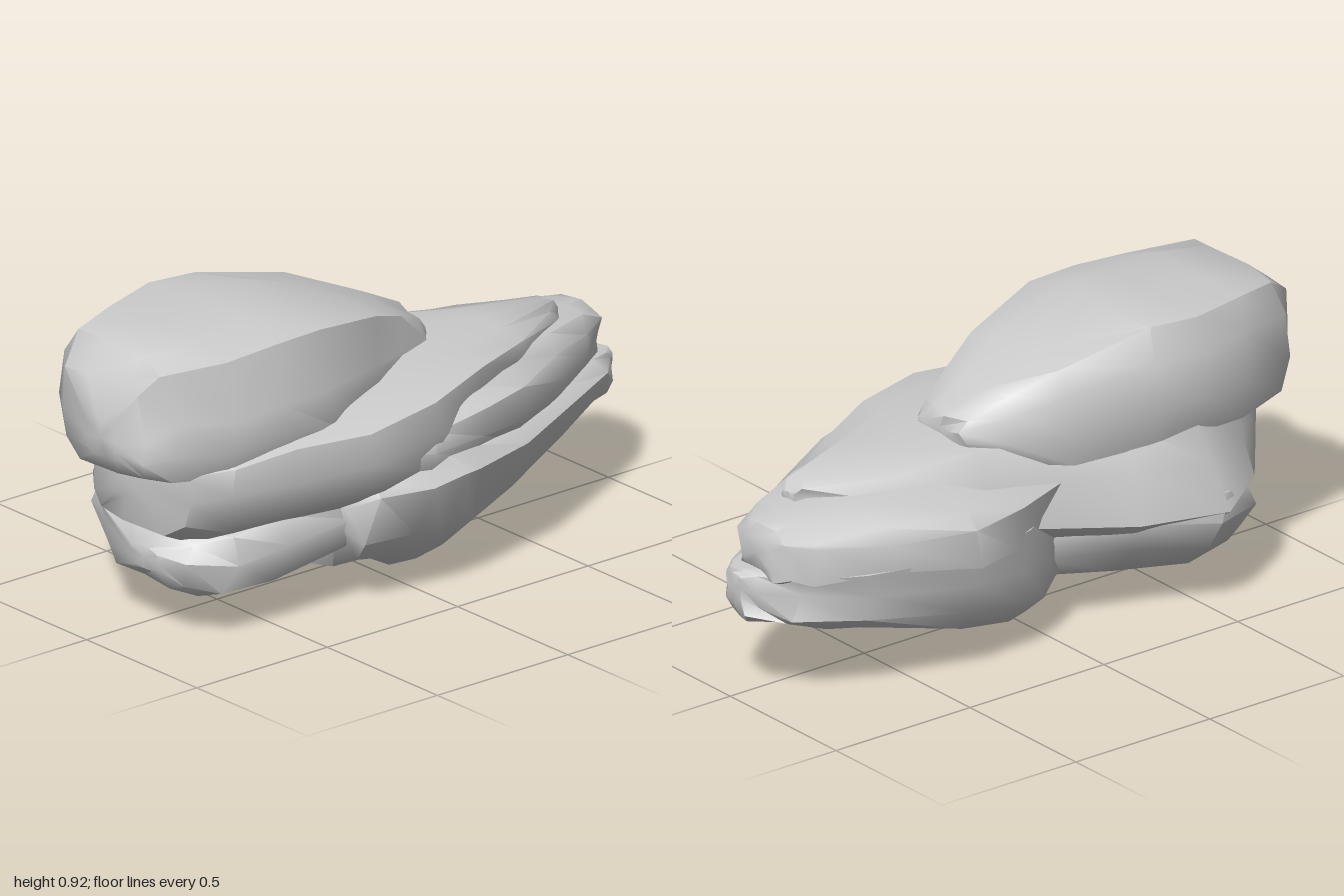
import * as THREE from 'three';
import { toCreasedNormals } from 'three/addons/utils/BufferGeometryUtils.js';

const material = new THREE.MeshStandardMaterial({ color: 0xcccccc });

// Small repeatable roughness in the range -1..1
const rough = (i, j, k) => {
  const s = Math.sin(i * 12.99 + j * 78.23 + k * 37.72) * 43758.55;
  return (s - Math.floor(s)) * 2 - 1;
};

// Loft a boulder along x.
// profile: loop of [u, v]; u = -1 back .. 1 front, v = 0 bottom .. 1 top
// sections: [x, bottom, top, back, front]
function boulder(name, profile, sections, seed) {
  const n = profile.length, pos = [], index = [];
  sections.forEach(([x, y0, y1, z0, z1], i) => {
    profile.forEach(([u, v], j) => {
      const end = i === 0 || i === sections.length - 1;
      const a = end ? 0.004 : 0.012;
      pos.push(
        x + (end ? 0 : 0.025 * rough(i, j, seed)),
        y0 + (y1 - y0) * v + (v > 0.05 && v < 0.95 ? a * rough(i, j, seed + 1) : 0),
        (z0 + z1) / 2 + (z1 - z0) / 2 * u + (Math.abs(u) < 0.97 ? a * rough(i, j, seed + 2) : 0));
    });
  });
  for (let i = 0; i < sections.length - 1; i++) {
    for (let j = 0; j < n; j++) {
      const a = i * n + j, b = i * n + (j + 1) % n;
      index.push(a, a + n, b, b, a + n, b + n);
    }
  }
  // End caps
  const last = (sections.length - 1) * n;
  const centre = ([x, y0, y1, z0, z1]) => pos.push(x, (y0 + y1) / 2, (z0 + z1) / 2) / 3 - 1;
  const c0 = centre(sections[0]), c1 = centre(sections[sections.length - 1]);
  for (let j = 0; j < n; j++) {
    const k = (j + 1) % n;
    index.push(c0, j, k, c1, last + k, last + j);
  }
  const geometry = new THREE.BufferGeometry();
  geometry.setAttribute('position', new THREE.Float32BufferAttribute(pos, 3));
  geometry.setIndex(index);
  const mesh = new THREE.Mesh(toCreasedNormals(geometry, 0.85), material);
  mesh.name = name;
  return mesh;
}

export function createModel() {
  const group = new THREE.Group();
  group.name = 'rockStack';

  // Flat-topped boulder resting on the left
  group.add(boulder('capstone',
    [[1, 0.25], [0.95, 0.5], [0.8, 0.92], [0.4, 1], [-0.3, 1], [-0.78, 0.97],
      [-0.92, 0.75], [-1, 0.4], [-0.9, 0.1], [-0.4, 0], [0.4, 0], [0.9, 0.05]],
    [[-1, 0.6, 0.72, 0, 0.13], [-0.95, 0.54, 0.82, -0.18, 0.22], [-0.88, 0.52, 0.895, -0.27, 0.28],
      [-0.7, 0.5, 0.91, -0.32, 0.33], [-0.5, 0.5, 0.92, -0.38, 0.33], [-0.33, 0.5, 0.92, -0.36, 0.32],
      [-0.05, 0.52, 0.85, -0.3, 0.22], [0.12, 0.55, 0.78, -0.23, 0.13],
      [0.24, 0.6, 0.72, -0.17, 0.09], [0.26, 0.62, 0.68, -0.12, 0.06]], 1));

  // Long slab under the capstone, thinning to the right
  group.add(boulder('middleSlab',
    [[1, 0.6], [0.97, 0.88], [0.65, 0.97], [0.2, 1], [-0.3, 1], [-0.75, 0.93],
      [-0.9, 0.6], [-1, 0.2], [-0.8, 0], [-0.2, 0], [0.5, 0], [0.9, 0.25]],
    [[-0.86, 0.42, 0.52, -0.05, 0.1], [-0.82, 0.33, 0.56, -0.2, 0.26], [-0.7, 0.28, 0.6, -0.33, 0.33],
      [-0.5, 0.26, 0.62, -0.44, 0.37], [-0.25, 0.27, 0.635, -0.38, 0.43], [0, 0.3, 0.65, -0.31, 0.42],
      [0.25, 0.35, 0.66, -0.28, 0.32], [0.5, 0.4, 0.645, -0.22, 0.2],
      [0.75, 0.5, 0.63, -0.06, 0.05], [0.79, 0.55, 0.6, -0.04, 0.02]], 5));

  // Keel below the slab on the left
  group.add(boulder('lowerLeftRock',
    [[1, 0.55], [0.9, 0.85], [0.4, 1], [-0.4, 1], [-0.95, 0.9], [-1, 0.65],
      [-0.85, 0.35], [-0.6, 0.05], [-0.1, 0], [0.5, 0.02], [0.92, 0.2]],
    [[-0.83, 0.2, 0.27, 0, 0.12], [-0.78, 0.14, 0.33, -0.2, 0.22], [-0.68, 0.09, 0.36, -0.33, 0.29],
      [-0.5, 0.1, 0.4, -0.44, 0.32], [-0.25, 0.12, 0.42, -0.36, 0.32],
      [0, 0.15, 0.4, -0.25, 0.25], [0.1, 0.2, 0.38, -0.15, 0.15]], 9));

  // Upper layer of the right-hand rock
  group.add(boulder('upperRightRock',
    [[1, 0.4], [0.96, 0.75], [0.7, 0.95], [0.2, 1], [-0.4, 0.97], [-0.85, 0.75],
      [-1, 0.6], [-0.97, 0.1], [-0.6, 0], [0.5, 0], [0.92, 0.1]],
    [[-0.2, 0.38, 0.5, -0.15, 0.36], [0, 0.36, 0.58, -0.28, 0.42], [0.2, 0.35, 0.6, -0.35, 0.4],
      [0.37, 0.35, 0.6, -0.4, 0.35], [0.65, 0.37, 0.59, -0.32, 0.22], [0.85, 0.38, 0.575, -0.23, 0.1],
      [0.94, 0.4, 0.56, -0.19, 0.03], [0.96, 0.43, 0.52, -0.14, 0]], 13));

  // Heavy lower layer of the right-hand rock, coming to a blunt tip
  group.add(boulder('lowerRightRock',
    [[1, 0.85], [0.85, 1], [0.2, 1], [-0.5, 1], [-1, 0.95], [-0.97, 0.65], [-0.9, 0.33],
      [-0.7, 0.16], [-0.2, 0], [0.2, 0.03], [0.55, 0.16], [0.86, 0.42]],
    [[-0.28, 0.2, 0.34, 0.1, 0.32], [-0.22, 0.08, 0.4, -0.1, 0.39], [-0.05, 0.05, 0.42, -0.25, 0.43],
      [0.06, 0, 0.43, -0.29, 0.44], [0.15, 0.01, 0.43, -0.33, 0.43], [0.37, 0.09, 0.43, -0.385, 0.37],
      [0.7, 0.17, 0.42, -0.29, 0.21], [0.9, 0.23, 0.42, -0.2, 0.1],
      [0.98, 0.25, 0.415, -0.09, 0.04], [1, 0.3, 0.4, -0.05, 0.02]], 17));

  return group;
}
